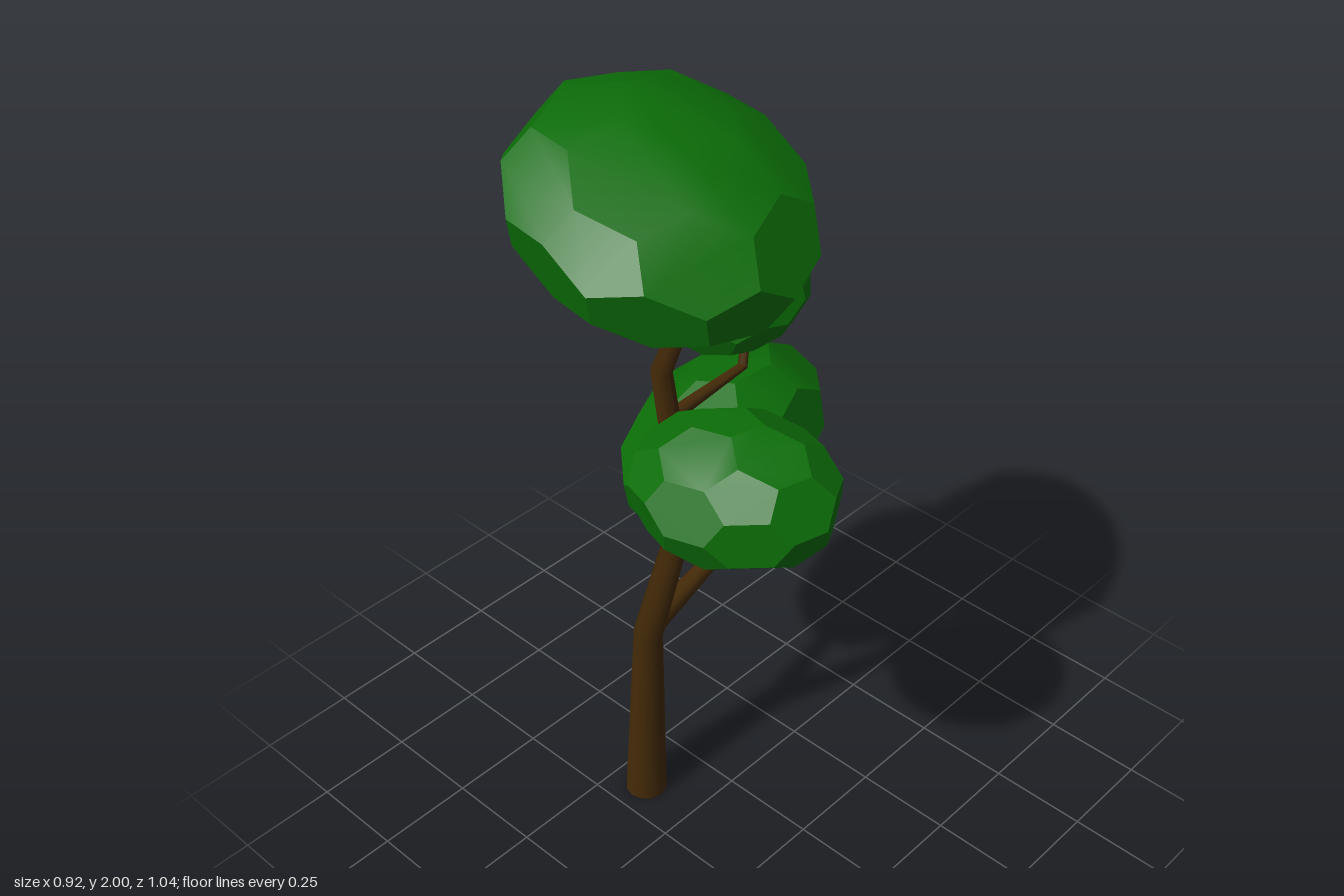
import * as THREE from 'three';
import { toCreasedNormals } from 'three/addons/utils/BufferGeometryUtils.js';
import { ConvexGeometry } from 'three/addons/geometries/ConvexGeometry.js';

const bark = new THREE.MeshStandardMaterial({ color: 0x452b08 });
const leaf = new THREE.MeshStandardMaterial({ color: 0x0c6e08 });
const vec = (a) => new THREE.Vector3(...a);
const up = new THREE.Vector3(0, 1, 0);

// Tapered limb: a capped cylinder whose rings are moved onto [x, y, z, radius] stations
function limb(name, stations) {
  const n = stations.length - 1;
  const pts = stations.map((s) => vec(s.slice(0, 3)));
  const turns = pts.map((p, i) => {
    const dir = new THREE.Vector3();
    if (i > 0) dir.add(p.clone().sub(pts[i - 1]).normalize());
    if (i < n) dir.add(pts[i + 1].clone().sub(p).normalize());
    return new THREE.Quaternion().setFromUnitVectors(up, dir.normalize());
  });
  if (pts[0].y === 0) turns[0].identity(); // a ring on the ground lies level
  const geo = new THREE.CylinderGeometry(1, 1, n, 12, n);
  const pos = geo.attributes.position;
  const v = new THREE.Vector3();
  for (let k = 0; k < pos.count; k++) {
    const i = Math.round(pos.getY(k) + n / 2);
    v.set(pos.getX(k), 0, pos.getZ(k)).multiplyScalar(stations[i][3]);
    v.applyQuaternion(turns[i]).add(pts[i]);
    pos.setXYZ(k, v.x, v.y, v.z);
  }
  const mesh = new THREE.Mesh(toCreasedNormals(geo, 0.7), bark);
  mesh.name = name;
  return mesh;
}

// Corners of a ball of pentagons and hexagons: an icosahedron with its edges cut in thirds
function ballPoints() {
  const p = new THREE.IcosahedronGeometry(1, 0).attributes.position;
  const found = new Map();
  for (let f = 0; f < p.count; f += 3) {
    for (let e = 0; e < 3; e++) {
      const a = new THREE.Vector3().fromBufferAttribute(p, f + e);
      const b = new THREE.Vector3().fromBufferAttribute(p, f + ((e + 1) % 3));
      for (const t of [1 / 3, 2 / 3]) {
        const q = a.clone().lerp(b, t).normalize();
        found.set(q.toArray().map((c) => Math.round(c * 1000)).join(), q);
      }
    }
  }
  return [...found.values()];
}

// Leaf clump: the ball turned by spin, leaned into a slanted ellipsoid (lean in the
// xy, yz and xz planes, each from -1 to 1) and sized to lie between two corners
function clump(name, min, max, [xy, yz, xz], spin) {
  const geo = new ConvexGeometry(ballPoints());
  geo.rotateX(spin).rotateY(spin * 1.7);
  const yy = Math.sqrt(1 - xy * xy);
  const zy = (yz - xy * xz) / yy;
  const zz = Math.sqrt(1 - xz * xz - zy * zy);
  geo.applyMatrix4(new THREE.Matrix4().set(1, 0, 0, 0, xy, yy, 0, 0, xz, zy, zz, 0, 0, 0, 0, 1));
  geo.center();
  const size = vec(max).sub(vec(min)).divide(geo.boundingBox.getSize(new THREE.Vector3()));
  geo.scale(size.x, size.y, size.z);
  const mid = vec(min).add(vec(max)).multiplyScalar(0.5);
  geo.translate(mid.x, mid.y, mid.z);
  const mesh = new THREE.Mesh(toCreasedNormals(geo, 0.5), leaf);
  mesh.name = name;
  return mesh;
}

export function createModel() {
  const tree = new THREE.Group();
  tree.name = 'tree';

  // Trunk and side branches
  tree.add(
    limb('trunk', [
      [-0.157, 0, 0.16, 0.054], [-0.13, 0.55, 0.16, 0.037], [0, 0.99, 0.16, 0.029],
      [-0.06, 1.35, 0.16, 0.025], [0.07, 1.66, 0.16, 0.015],
    ]),
    limb('lowBranch', [
      [-0.13, 0.56, 0.16, 0.03], [-0.19, 0.59, -0.18, 0.022], [-0.205, 0.76, -0.22, 0.021],
    ]),
    limb('leftBranch', [
      [0, 0.97, 0.16, 0.022], [0.175, 1.005, 0.16, 0.016], [0.22, 1.13, 0.17, 0.013],
    ]),
    limb('backBranch', [
      [-0.04, 1.235, 0.16, 0.018], [-0.05, 1.245, -0.09, 0.012], [-0.065, 1.34, -0.12, 0.011],
    ]),
    limb('topBranch', [
      [0.03, 1.53, 0.16, 0.016], [-0.12, 1.61, 0.195, 0.012], [-0.15, 1.73, 0.2, 0.011],
    ]),
  );

  // Leaf clumps
  tree.add(
    clump('lowLeaves', [-0.46, 0.69, -0.52], [0.025, 1.12, 0.11], [0.14, -0.05, 0.18], 0.3),
    clump('leftLeaves', [-0.01, 1.07, 0.03], [0.455, 1.36, 0.43], [-0.1, -0.1, -0.15], 0.8),
    clump('backLeaves', [-0.28, 1.285, -0.32], [0.05, 1.52, 0.05], [0, -0.22, 0], 0.5),
    clump('topLeaves', [-0.33, 1.59, -0.12], [0.32, 2, 0.52], [-0.47, -0.07, 0.03], 0.2),
  );
  return tree;
}
